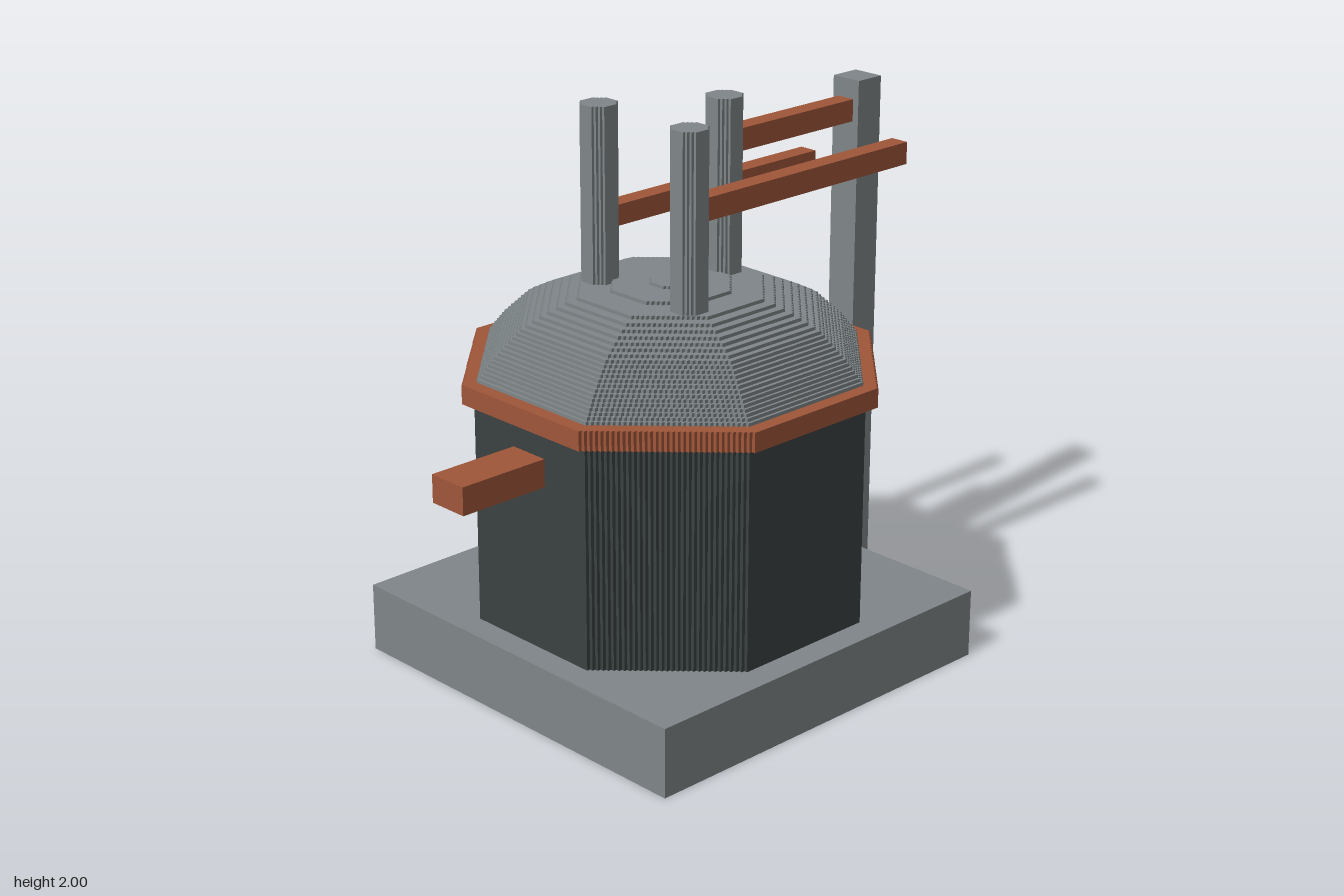
import * as THREE from 'three';

const STEP = 0.0125; // size of the small stair steps
const CX = 0.0125;   // x of the tank axis

export function createModel() {
  const model = new THREE.Group();
  const mat = (name, color) => {
    const m = new THREE.MeshStandardMaterial({ color });
    m.name = name;
    return m;
  };
  const grey = mat('stone grey', 0x80878a);
  const dark = mat('dark iron', 0x3b4243);
  const copper = mat('copper', 0xa0573a);

  const add = (name, geometry, material, x, y, z) => {
    const mesh = new THREE.Mesh(geometry, material);
    mesh.name = name;
    mesh.position.set(x, y, z);
    model.add(mesh);
    return mesh;
  };

  // Box given by its limits on each axis
  const box = (name, material, [x0, x1], [y0, y1], [z0, z1]) =>
    add(name, new THREE.BoxGeometry(x1 - x0, y1 - y0, z1 - z0), material,
      (x0 + x1) / 2, (y0 + y1) / 2, (z0 + z1) / 2);

  // Octagon outline with finely stepped diagonals; h is half its width
  const octagon = (h) => {
    const flat = h * Math.tan(Math.PI / 8);
    const n = Math.max(2, Math.round((h - flat) / STEP));
    const s = (h - flat) / (n + 0.5);
    const c = h - n * s;
    const corner = [[h, c]];
    for (let i = 1; i <= n; i++) {
      corner.push([h - i * s, c + (i - 1) * s], [h - i * s, c + i * s]);
    }
    const points = [];
    for (let q = 0; q < 4; q++) {
      for (const [x, y] of corner) {
        points.push(new THREE.Vector2(x, y).rotateAround(new THREE.Vector2(), q * Math.PI / 2));
      }
    }
    return new THREE.Shape(points);
  };
  const prism = (name, material, h, y0, y1, x = CX, z = 0) => {
    const g = new THREE.ExtrudeGeometry(octagon(h), { depth: y1 - y0, bevelEnabled: false });
    g.rotateX(-Math.PI / 2);
    return add(name, g, material, x, y0, z);
  };

  // Base, tank and rim
  box('base', grey, [-0.735, 0.76], [0, 0.25], [-0.75, 0.75]);
  prism('tankBody', dark, 0.65, 0.25, 1.05);
  prism('rimBand', copper, 0.69, 1.05, 1.12);

  // Stepped dome: half width against height
  const profile = [[1.12, 0.645], [1.2, 0.585], [1.29, 0.495], [1.33, 0.42],
    [1.365, 0.335], [1.38, 0.28], [1.39, 0.2]];
  const widthAt = (y) => {
    let i = 0;
    while (i < profile.length - 2 && y > profile[i + 1][0]) i++;
    const [y0, w0] = profile[i];
    const [y1, w1] = profile[i + 1];
    return THREE.MathUtils.lerp(w0, w1, (y - y0) / (y1 - y0));
  };
  const layers = 22;
  const dy = (1.39 - 1.12) / layers;
  for (let i = 0; i < layers; i++) {
    const y = 1.12 + i * dy;
    const h = i === layers - 1 ? 0.2 : widthAt(y + dy / 2);
    prism('domeLayer', grey, h, y, y + dy);
  }
  prism('domeCap', grey, 0.07, 1.39, 1.4);

  // Three upright electrodes, each with its copper arm
  const electrodes = [
    { x: -0.115, z: 0.218, arm: [-0.065, 0.91], y: [1.68, 1.76] },
    { x: -0.115, z: -0.218, arm: [-0.065, 0.91], y: [1.565, 1.64] },
    { x: 0.26, z: 0, arm: [0.3, 0.87], y: [1.8, 1.88] },
  ];
  for (const e of electrodes) {
    prism('electrode', grey, 0.06, 1.34, 2, e.x, e.z);
    box('electrodeArm', copper, e.arm, e.y, [e.z - 0.035, e.z + 0.035]);
  }

  // Support post and outlet spout
  box('supportPost', grey, [0.865, 0.98], [0, 1.95], [-0.06, 0.06]);
  box('spout', copper, [-0.985, -0.62], [0.85, 0.95], [-0.077, 0.077]);

  return model;
}
